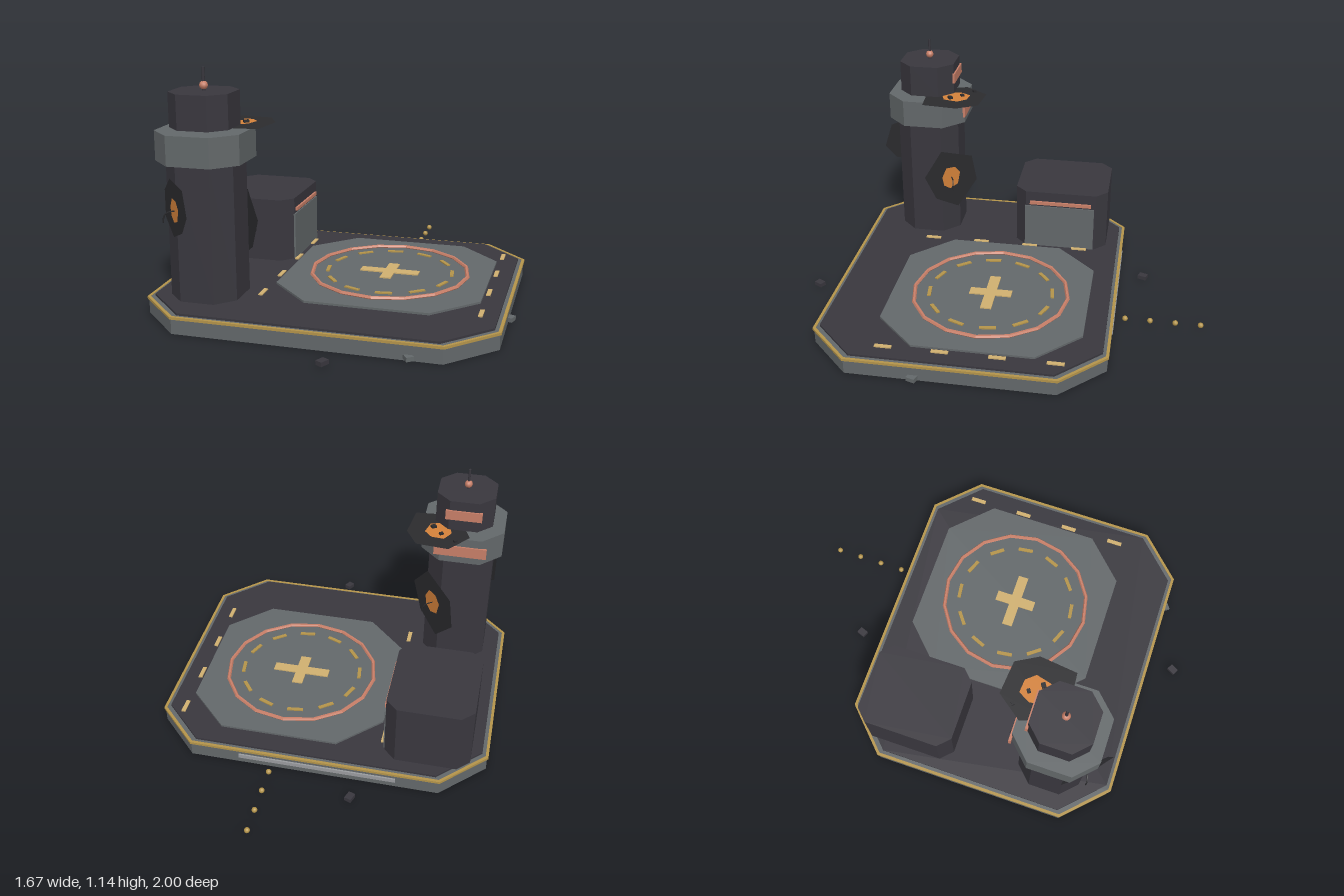
import * as THREE from 'three';

const mat = (name, color) => Object.assign(new THREE.MeshStandardMaterial({ color }), { name });

export function createModel() {
  const root = new THREE.Group();
  root.name = 'landingOutpost';

  const grey = mat('concrete grey', 0x63686a);
  const dark = mat('dark plating', 0x39373e);
  const soot = mat('soot black', 0x2b2b2e);
  const brass = mat('brass trim', 0xb4944a);
  const sand = mat('sand marking', 0xd0b070);
  const coral = mat('coral light', 0xc87f68);
  const ember = mat('ember orange', 0xd4823a);
  const pale = mat('pale strip', 0x9a9c9f);
  soot.side = THREE.DoubleSide;

  const add = (name, geo, material, x = 0, y = 0, z = 0, parent = root) => {
    const mesh = new THREE.Mesh(geo, material);
    mesh.name = name;
    mesh.position.set(x, y, z);
    parent.add(mesh);
    return mesh;
  };
  const box = (name, w, h, d, material, x, y, z, parent) =>
    add(name, new THREE.BoxGeometry(w, h, d), material, x, y, z, parent);

  // Rectangle with cut corners, standing as a prism from y0 to y1
  const outline = (hx, hz, c) => [
    [hx, -hz + c], [hx, hz - c], [hx - c, hz], [-hx + c, hz],
    [-hx, hz - c], [-hx, -hz + c], [-hx + c, -hz], [hx - c, -hz],
  ].map(([x, y]) => new THREE.Vector2(x, y));
  const prism = (name, hx, hz, c, y0, y1, x, z, material, hole) => {
    const shape = new THREE.Shape(outline(hx, hz, c));
    if (hole) shape.holes.push(new THREE.Path(outline(hx - hole, hz - hole, c - hole * 0.59)));
    const geo = new THREE.ExtrudeGeometry(shape, { depth: y1 - y0, bevelEnabled: false });
    geo.rotateX(-Math.PI / 2);
    return add(name, geo, material, x, y0, z);
  };

  // Platform
  const bx = -0.012, bz = 0.133;
  prism('platformBase', 0.815, 0.695, 0.207, 0, 0.08, bx, bz, grey);
  prism('platformTrim', 0.821, 0.701, 0.209, 0.07, 0.082, bx, bz, brass, 0.014);
  prism('platformDeck', 0.79, 0.672, 0.2, 0.08, 0.09, bx, bz, dark);
  box('backStrip', 0.77, 0.02, 0.008, pale, -0.03, 0.042, -0.566);

  // Landing pad with ring, dashes and cross
  const px = 0.19, pz = 0.05;
  prism('landingPad', 0.49, 0.488, 0.2, 0.09, 0.1, px, pz, grey);
  const ring = new THREE.TorusGeometry(0.385, 0.01, 6, 16).toNonIndexed();
  ring.computeVertexNormals();
  ring.rotateX(Math.PI / 2);
  add('padRing', ring, coral, px, 0.104, pz);
  for (let i = 0; i < 12; i++) {
    const a = (i * 30 + 7.5) * Math.PI / 180;
    const dash = box('padDash', 0.018, 0.006, 0.08, brass,
      px + 0.305 * Math.cos(a), 0.103, pz - 0.305 * Math.sin(a));
    dash.rotation.y = a;
  }
  box('crossBarWide', 0.29, 0.006, 0.054, sand, px, 0.103, pz);
  for (const s of [-1, 1])
    box('crossBarShort', 0.054, 0.006, 0.078, sand, px, 0.103, pz + s * 0.066);

  // Lane dashes on both sides of the pad
  for (const x of [-0.322, 0.7])
    for (let i = 0; i < 4; i++)
      box('laneDash', 0.02, 0.006, 0.08, sand, x, 0.093, -0.337 + i * 0.266);

  // Hangar
  prism('hangar', 0.207, 0.244, 0.058, 0.09, 0.41, -0.543, -0.233, dark);
  box('hangarDoor', 0.009, 0.238, 0.368, grey, -0.334, 0.21, -0.227);
  box('hangarLight', 0.014, 0.018, 0.325, coral, -0.333, 0.349, -0.231);

  // Control tower
  const tx = -0.564, tz = 0.507;
  prism('towerShaft', 0.162, 0.162, 0.081, 0.09, 0.73, tx, tz, dark);
  prism('towerCollar', 0.203, 0.203, 0.101, 0.73, 0.868, tx, tz, grey);
  prism('towerNeck', 0.08, 0.08, 0.04, 0.868, 0.88, tx, tz, dark);
  prism('towerCap', 0.143, 0.143, 0.071, 0.88, 1.04, tx, tz, dark);
  box('collarWindow', 0.26, 0.056, 0.012, coral, tx, 0.797, tz - 0.205);
  box('capWindow', 0.18, 0.05, 0.012, coral, tx, 0.965, tz - 0.145);
  add('antenna', new THREE.CylinderGeometry(0.006, 0.008, 0.105, 6), dark, tx, 1.0925, tz);
  add('beacon', new THREE.IcosahedronGeometry(0.02, 1), coral, tx, 1.064, tz);

  // Blast marks: jagged soot plate, glowing core, bent wire and rubble
  const blob = (pts) => new THREE.ShapeGeometry(
    new THREE.Shape(pts.map(([x, y]) => new THREE.Vector2(x, y))));
  const core = [[-0.055, 0.01], [-0.03, 0.055], [0.02, 0.05], [0.05, 0.015],
    [0.035, -0.045], [-0.01, -0.06], [-0.045, -0.035]];
  const blast = (pts, scale, pos, rx, ry, chunks) => {
    const g = new THREE.Group();
    g.name = 'blastMark';
    g.position.set(...pos);
    g.rotation.set(rx, ry, 0);
    root.add(g);
    add('sootPlate', blob(pts), soot, 0, 0, 0, g);
    add('emberCore', blob(core.map(([x, y]) => [x * scale, y * scale])), ember, 0, 0, 0.003, g);
    for (const [x, y, s] of chunks) {
      const chunk = box('rubble', s, s * 0.8, s * 0.6, soot, x, y, s * 0.3, g);
      chunk.rotation.z = 0.6;
    }
    return g;
  };
  const wire = (parent) => add('bentWire', new THREE.TubeGeometry(new THREE.CatmullRomCurve3([
    new THREE.Vector3(0, 0, 0), new THREE.Vector3(-0.01, -0.005, 0.03),
    new THREE.Vector3(-0.02, -0.02, 0.045), new THREE.Vector3(-0.025, -0.055, 0.05),
  ]), 6, 0.0035, 4), soot, 0, 0, 0, parent);

  wire(blast([[-0.13, -0.06], [-0.13, 0.07], [-0.06, 0.135], [0.1, 0.115],
    [0.145, 0], [0.08, -0.085], [-0.03, -0.13]],
  0.95, [-0.65, 0.52, 0.672], 0, -Math.PI / 4, []));
  wire(blast([[-0.167, 0.04], [-0.06, 0.165], [0.135, 0.09], [0.165, -0.06],
    [0.04, -0.19], [-0.1, -0.105]],
  1.1, [-0.443, 0.41, 0.381], 0, Math.PI * 0.75, []));
  blast([[-0.16, 0.03], [-0.07, 0.15], [0.09, 0.135], [0.15, 0.03],
    [0.13, -0.15], [0, -0.16], [-0.11, -0.1]],
  1.25, [-0.445, 0.874, 0.345], -Math.PI / 2, 0,
  [[-0.095, 0.08, 0.018], [0.025, -0.025, 0.025], [-0.02, 0.03, 0.02]]);

  // Approach lights behind the platform
  for (let i = 0; i < 4; i++)
    add('approachLight', new THREE.IcosahedronGeometry(0.014, 1), brass, 0.19, 0.022, -0.62 - i * 0.122);

  // Loose debris on the ground
  for (const [x, z, turn, m] of [[-0.222, -0.69, -0.35, dark], [0.12, 0.968, -0.5, dark],
    [0.45, 0.832, 0.6, grey], [0.812, 0.3, -0.3, grey]])
    box('debris', 0.034, 0.02, 0.044, m, x, 0.017, z).rotation.y = turn;

  return root;
}
